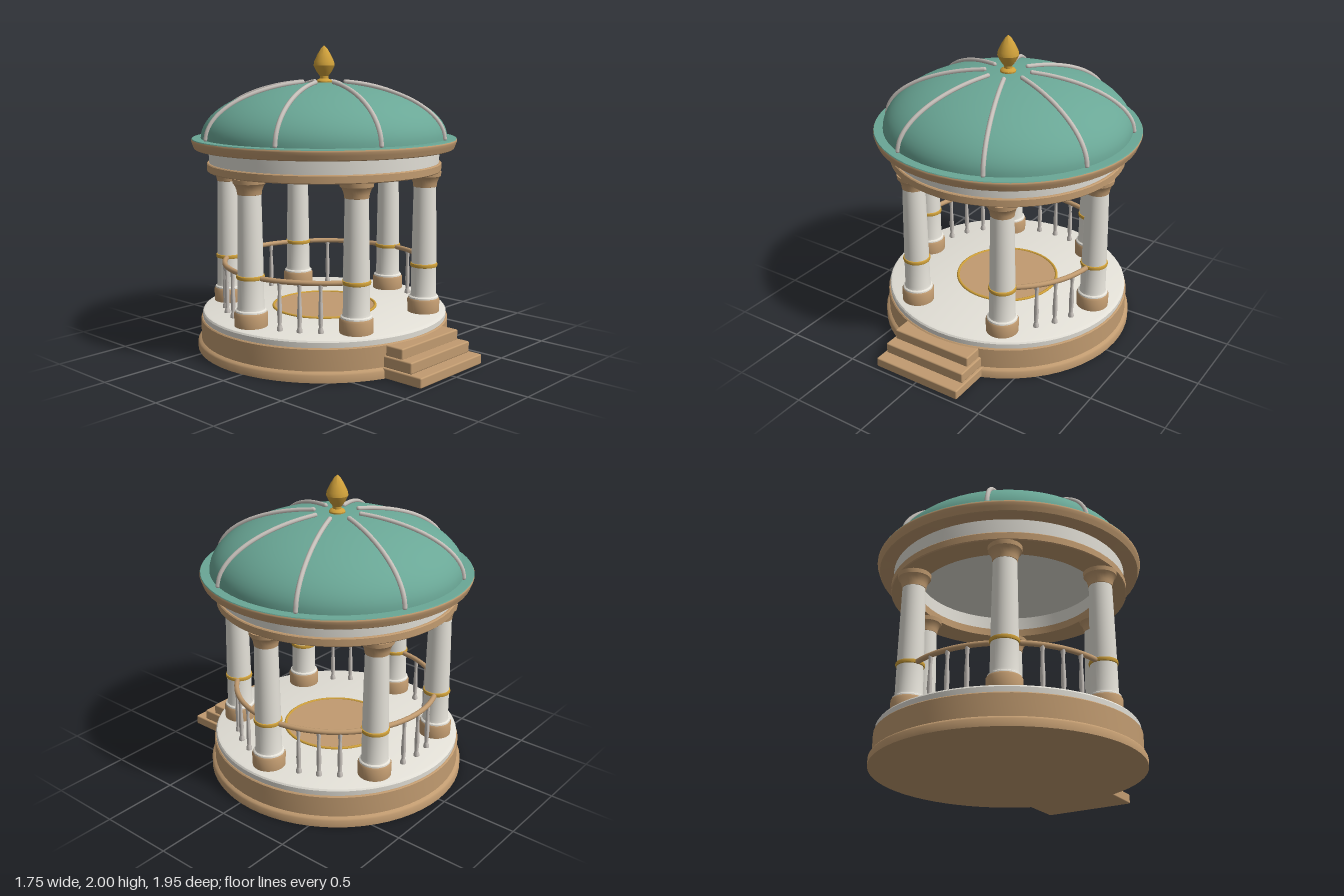
import * as THREE from 'three';
import { toCreasedNormals } from 'three/addons/utils/BufferGeometryUtils.js';
import { RoundedBoxGeometry } from 'three/addons/geometries/RoundedBoxGeometry.js';

export function createModel() {
  const mat = (name, color) => {
    const m = new THREE.MeshStandardMaterial({ color });
    m.name = name;
    return m;
  };
  const sandstone = mat('sandstone', 0xc19b70);
  const marble = mat('marble', 0xe4e1d8);
  const copper = mat('copperGreen', 0x6aa796);
  const gold = mat('gold', 0xcfa03a);
  const silver = mat('paleMetal', 0xc6c0ba);

  const model = new THREE.Group();
  model.name = 'pavilion';
  const rotunda = new THREE.Group();
  rotunda.name = 'rotunda';
  rotunda.position.z = -0.1;
  model.add(rotunda);

  const add = (parent, name, geometry, material) => {
    const mesh = new THREE.Mesh(geometry, material);
    mesh.name = name;
    parent.add(mesh);
    return mesh;
  };
  // Turned part from [radius, height] pairs, listed upward along the outside
  const turned = (points, segments = 64) => toCreasedNormals(
    new THREE.LatheGeometry(points.map(([r, y]) => new THREE.Vector2(r, y)), segments), 0.6);
  const polar = (r, a, y) => new THREE.Vector3(r * Math.cos(a), y, r * Math.sin(a));
  const rad = THREE.MathUtils.degToRad;

  // Base, floor and round inlay
  add(rotunda, 'base', turned([[0, 0], [0.855, 0], [0.855, 0.045], [0.848, 0.056], [0.832, 0.065],
    [0.832, 0.2], [0.825, 0.207], [0, 0.207]]), sandstone);
  add(rotunda, 'floor', turned([[0.82, 0.205], [0.822, 0.24], [0.815, 0.25], [0.8, 0.255], [0, 0.255]]), marble);
  add(rotunda, 'floorInlay', turned([[0.345, 0.254], [0.345, 0.259], [0, 0.259]]), sandstone);
  const inlayRing = add(rotunda, 'inlayRing', new THREE.TorusGeometry(0.345, 0.01, 8, 64), gold);
  inlayRing.rotation.x = Math.PI / 2;
  inlayRing.position.y = 0.257;

  // Front steps
  [[0.63, 0.065, 0.97], [0.6, 0.135, 0.885], [0.57, 0.2, 0.805]].forEach(([width, top, front], i) => {
    const bottom = i === 0 ? 0 : top - 0.072;
    const step = add(model, 'step' + (i + 1),
      new RoundedBoxGeometry(width, top - bottom, front - 0.6, 2, 0.009), sandstone);
    step.position.set(0, (top + bottom) / 2, (front + 0.6) / 2);
  });

  // Six columns
  const pedestal = turned([[0.105, 0.255], [0.107, 0.335], [0.1, 0.348], [0.08, 0.35]], 32);
  const shaft = turned([[0.1, 0.345], [0.098, 0.357], [0.088, 0.364], [0.084, 0.38], [0.082, 0.6],
    [0.078, 0.85], [0.073, 1.1]], 32);
  const band = turned([[0.08, 0.556], [0.088, 0.559], [0.091, 0.57], [0.088, 0.581], [0.08, 0.584]], 32);
  const capital = turned([[0.07, 1.088], [0.076, 1.09], [0.079, 1.115], [0.09, 1.145], [0.103, 1.16],
    [0.106, 1.188], [0, 1.188]], 32);
  for (let i = 0; i < 6; i++) {
    const column = new THREE.Group();
    column.name = 'column' + (i + 1);
    column.position.copy(polar(0.675, rad(60 * i), 0));
    add(column, 'pedestal', pedestal, sandstone);
    add(column, 'shaft', shaft, marble);
    add(column, 'shaftBand', band, gold);
    add(column, 'capital', capital, sandstone);
    rotunda.add(column);
  }

  // Balustrade in every bay except the front one
  const baluster = turned([[0.019, 0.255], [0.019, 0.268], [0.012, 0.29], [0.016, 0.36], [0.014, 0.42],
    [0.01, 0.5], [0.014, 0.545], [0.014, 0.56]], 12);
  for (let bay = 0; bay < 6; bay++) {
    if (bay === 1) continue;
    const middle = 60 * bay + 30;
    const path = [];
    for (let k = 0; k <= 8; k++) path.push(polar(0.67, rad(middle - 22 + 5.5 * k), 0.567));
    const balustrade = new THREE.Group();
    balustrade.name = 'balustrade' + (bay + 1);
    add(balustrade, 'handrail', new THREE.TubeGeometry(new THREE.CatmullRomCurve3(path), 32, 0.017, 10), sandstone);
    for (const end of [path[0], path[8]]) {
      add(balustrade, 'railEnd', new THREE.SphereGeometry(0.017, 10, 8), sandstone).position.copy(end);
    }
    for (const offset of [-11.2, 0, 11.2]) {
      add(balustrade, 'baluster', baluster, silver).position.copy(polar(0.67, rad(middle + offset), 0));
    }
    rotunda.add(balustrade);
  }

  // Ring beam, frieze, ceiling and eave
  add(rotunda, 'ringBeam', turned([[0.6, 1.24], [0.6, 1.187], [0.77, 1.187], [0.776, 1.193], [0.776, 1.236],
    [0.77, 1.242], [0.6, 1.242]]), sandstone);
  add(rotunda, 'frieze', turned([[0.6, 1.335], [0.6, 1.24], [0.76, 1.24], [0.764, 1.335]]), marble);
  add(rotunda, 'ceiling', turned([[0, 1.33], [0.61, 1.33]]), marble);
  add(rotunda, 'eave', turned([[0.6, 1.333], [0.85, 1.333], [0.858, 1.338], [0.868, 1.365], [0.875, 1.385],
    [0.875, 1.393], [0.872, 1.398]]), sandstone);

  // Dome with flat rim
  const domeProfile = [];
  for (let k = 0; k <= 20; k++) {
    const a = (k / 20) * Math.PI / 2;
    domeProfile.push([k === 20 ? 0 : 0.812 * Math.cos(a), 1.402 + 0.358 * Math.sin(a)]);
  }
  add(rotunda, 'domeRim', turned([[0.873, 1.397], [0.87, 1.402], [0.8, 1.403]]), copper);
  add(rotunda, 'dome', turned(domeProfile), copper);

  // Eight dome ribs
  const ribPoints = [];
  for (let k = 0; k <= 10; k++) {
    const a = THREE.MathUtils.lerp(0.03, 1.38, k / 10);
    ribPoints.push(new THREE.Vector3(0.817 * Math.cos(a), 1.402 + 0.367 * Math.sin(a), 0));
  }
  const ribTube = new THREE.TubeGeometry(new THREE.CatmullRomCurve3(ribPoints), 32, 0.015, 8);
  const ribCap = new THREE.SphereGeometry(0.015, 8, 6);
  for (let i = 0; i < 8; i++) {
    const rib = new THREE.Group();
    rib.name = 'domeRib' + (i + 1);
    rib.rotation.y = rad(22.5 + 45 * i);
    add(rib, 'ribTube', ribTube, silver);
    for (const end of [ribPoints[0], ribPoints[10]]) add(rib, 'ribEnd', ribCap, silver).position.copy(end);
    rotunda.add(rib);
  }

  // Finial
  add(rotunda, 'finial', turned([[0.05, 1.752], [0.052, 1.768], [0.045, 1.778], [0.028, 1.785], [0.028, 1.8],
    [0.05, 1.83], [0.07, 1.87], [0.066, 1.895], [0.045, 1.94], [0.02, 1.982], [0, 2]], 20), gold);

  return model;
}
